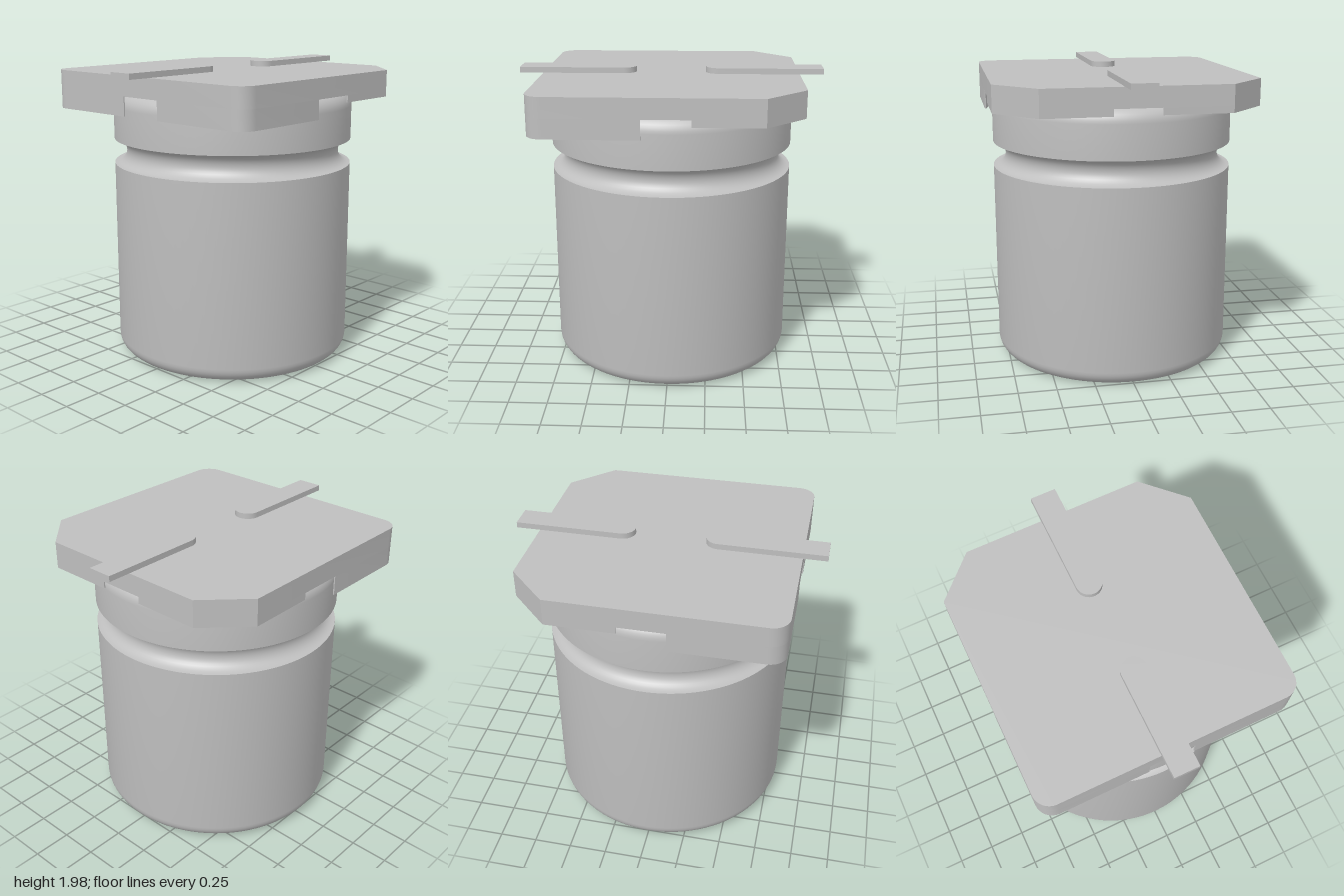
import * as THREE from 'three';
import { toCreasedNormals } from 'three/addons/utils/BufferGeometryUtils.js';

const HALF = 0.845, ROUND = 0.11, CHAMFER = 0.255, GAP = 0.15, RECESS = 0.85;
const CAN = 0.805, PLATE_TOP = 1.94, PLATE_BOTTOM = 1.81;

// Points along an arc, end points included
function arc(cx, cy, r, from, to, steps) {
  return Array.from({ length: steps + 1 }, (_, i) => {
    const a = from + (to - from) * i / steps;
    return new THREE.Vector2(cx + r * Math.cos(a), cy + r * Math.sin(a));
  });
}

// Extrude an outline in x and z downwards from a given height
function slab(points, top, bottom) {
  const geo = new THREE.ExtrudeGeometry(new THREE.Shape(points), { depth: top - bottom, bevelEnabled: false });
  geo.rotateX(Math.PI / 2).translate(0, top, 0);
  return toCreasedNormals(geo, 0.5);
}

// Outer corner, running from the z side to the x side: chamfered at +x, rounded at -x
function cornerPoints(sx, sz) {
  const pts = sx > 0
    ? [new THREE.Vector2(HALF - CHAMFER, HALF), new THREE.Vector2(HALF, HALF - CHAMFER)]
    : arc(HALF - ROUND, HALF - ROUND, ROUND, Math.PI / 2, 0, 8);
  return pts.map(p => new THREE.Vector2(p.x * sx, p.y * sz));
}

export function createModel() {
  const model = new THREE.Group();
  const grey = new THREE.MeshStandardMaterial({ color: 0xbfbfbf });
  grey.name = 'grey';
  const add = (name, geo) => {
    const mesh = new THREE.Mesh(geo, grey);
    mesh.name = name;
    model.add(mesh);
  };

  // Can with rounded ends and a half-round groove
  const profile = [
    new THREE.Vector2(0, 0),
    ...arc(CAN - 0.1, 0.1, 0.1, -Math.PI / 2, 0, 8),
    ...arc(CAN, 1.402, 0.083, Math.PI * 1.5, Math.PI / 2, 16),
    ...arc(CAN - 0.1, PLATE_BOTTOM - 0.1, 0.1, 0, Math.PI / 2, 8),
    new THREE.Vector2(0, PLATE_BOTTOM),
  ];
  add('can', toCreasedNormals(new THREE.LatheGeometry(profile, 96), 0.5));

  // Base plate
  add('basePlate', slab([
    ...cornerPoints(1, 1), ...cornerPoints(1, -1).reverse(),
    ...cornerPoints(-1, -1), ...cornerPoints(-1, 1).reverse(),
  ], PLATE_TOP, PLATE_BOTTOM));

  // Corner skirts, hollowed around the can and deeper on the rounded side
  const start = Math.asin(GAP / RECESS);
  for (const sx of [1, -1]) for (const sz of [1, -1]) {
    const inner = arc(0, 0, RECESS, start, Math.PI / 2 - start, 24)
      .map(p => new THREE.Vector2(p.x * sx, p.y * sz));
    const outline = [
      new THREE.Vector2(GAP * sx, HALF * sz), ...cornerPoints(sx, sz),
      new THREE.Vector2(HALF * sx, GAP * sz), ...inner,
    ];
    add((sx > 0 ? 'left' : 'right') + (sz > 0 ? 'Front' : 'Back') + 'Skirt',
      slab(outline, PLATE_BOTTOM, sx > 0 ? 1.765 : 1.685));
  }

  // Flat leads with round inner ends
  const w = 0.083;
  for (const sx of [1, -1]) {
    const outline = [
      new THREE.Vector2(1, -w), new THREE.Vector2(1, w),
      ...arc(0.23 + w, 0, w, Math.PI / 2, Math.PI * 1.5, 16),
    ].map(p => new THREE.Vector2(p.x * sx, p.y));
    add(sx > 0 ? 'leftLead' : 'rightLead', slab(outline, 1.977, PLATE_TOP));
  }
  return model;
}
